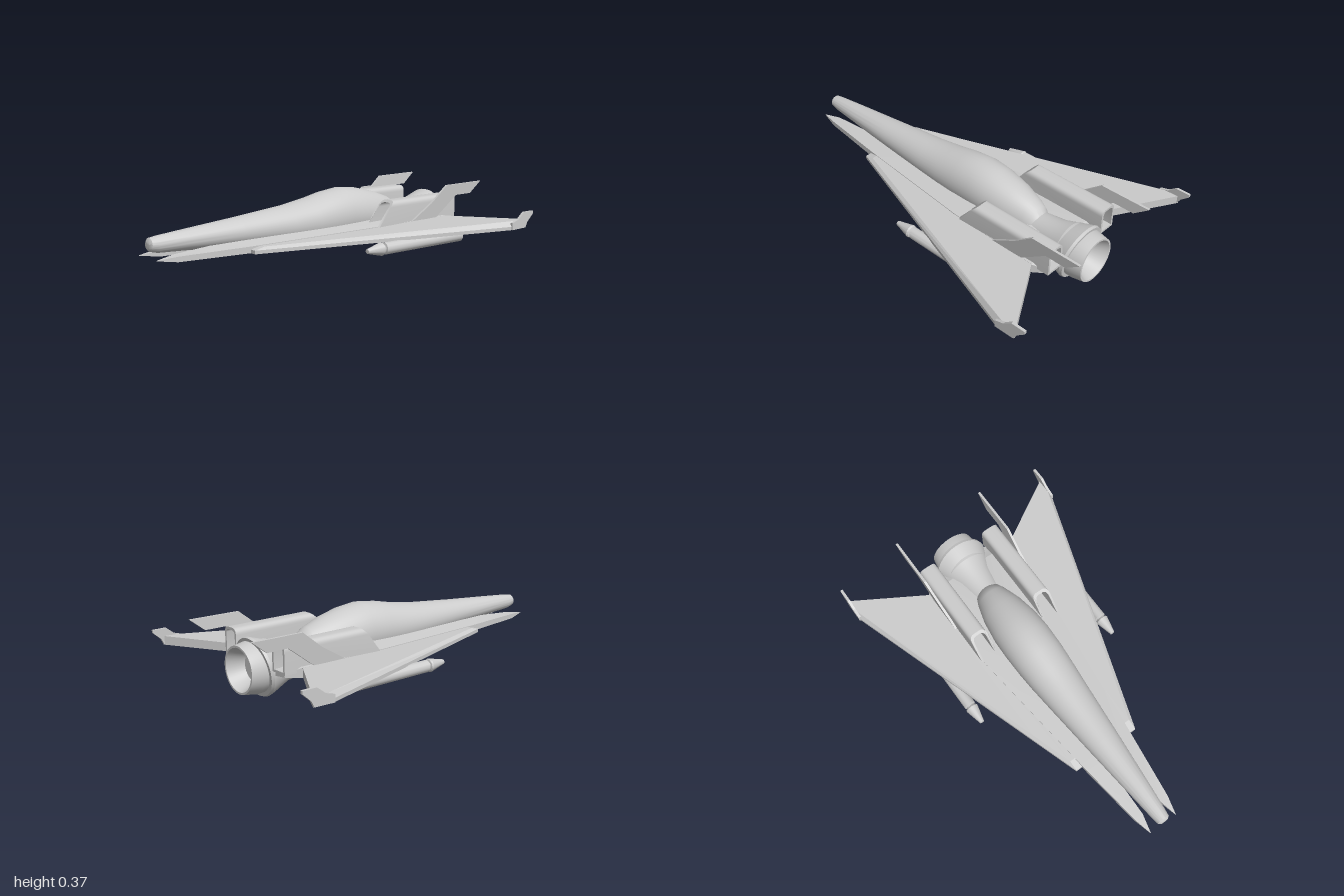
import * as THREE from 'three';
import { toCreasedNormals } from 'three/addons/utils/BufferGeometryUtils.js';

const material = new THREE.MeshStandardMaterial({ color: 0xcccccc });

// Skin closed rings of [x, y, z] points, capping both ends and facing outward
function loft(rings, crease = 0.5) {
  const n = rings[0].length;
  const tris = [];
  const tri = (a, b, c) => tris.push([a, b, c]);
  for (let i = 0; i < rings.length - 1; i++) {
    for (let j = 0; j < n; j++) {
      const k = (j + 1) % n;
      const [a, b, c, d] = [rings[i][j], rings[i][k], rings[i + 1][k], rings[i + 1][j]];
      tri(a, b, c);
      tri(a, c, d);
    }
  }
  const first = rings[0], last = rings[rings.length - 1];
  for (let j = 1; j < n - 1; j++) {
    tri(first[0], first[j + 1], first[j]);
    tri(last[0], last[j], last[j + 1]);
  }
  let volume = 0;
  const [A, B, C] = [new THREE.Vector3(), new THREE.Vector3(), new THREE.Vector3()];
  for (const [a, b, c] of tris) {
    volume += A.fromArray(a).dot(B.fromArray(b).cross(C.fromArray(c)));
  }
  const flat = tris.flatMap(([a, b, c]) => (volume < 0 ? [a, c, b] : [a, b, c])).flat();
  const geo = new THREE.BufferGeometry();
  geo.setAttribute('position', new THREE.Float32BufferAttribute(flat, 3));
  return toCreasedNormals(geo, crease);
}

// Reflect a geometry across z = 0 and restore its facing
function mirrored(source) {
  const src = source.index ? source.toNonIndexed() : source.clone();
  for (const name of ['position', 'normal']) {
    const at = src.attributes[name];
    for (let i = 0; i < at.count; i += 3) {
      const p = [0, 2, 1].map((k) => [at.getX(i + k), at.getY(i + k), -at.getZ(i + k)]);
      p.forEach((v, k) => at.setXYZ(i + k, ...v));
    }
  }
  return src;
}

// Move every vertex by a rule, then refresh the normals
function reshape(geo, rule, crease = 0.5) {
  const pos = geo.attributes.position;
  const v = new THREE.Vector3();
  for (let i = 0; i < pos.count; i++) {
    rule(v.fromBufferAttribute(pos, i));
    pos.setXYZ(i, v.x, v.y, v.z);
  }
  return toCreasedNormals(geo, crease);
}

// Turn a [x, radius] profile about an axis running along x
function turned(profile, segments, y, z) {
  const geo = new THREE.LatheGeometry(profile.map(([x, r]) => new THREE.Vector2(r, x)), segments);
  return toCreasedNormals(geo.rotateZ(-Math.PI / 2).translate(0, y, z), 0.5);
}

function plate(points, thickness) {
  const shape = new THREE.Shape(points.map(([x, y]) => new THREE.Vector2(x, y)));
  return new THREE.ExtrudeGeometry(shape, { depth: thickness, bevelEnabled: false });
}

// Round-shouldered duct outline, inset by t
function ductPath(path, t) {
  const [l, r, b, top, c] = [-0.25 + t, -0.152 - t, 0.17 + t, 0.31 - t, 0.032 - t / 2];
  path.moveTo(l, b);
  path.lineTo(r, b);
  path.lineTo(r, top - c);
  path.quadraticCurveTo(r, top, r - c, top);
  path.lineTo(l + c, top);
  path.quadraticCurveTo(l, top, l, top - c);
  path.lineTo(l, b);
  return path;
}

export function createModel() {
  const model = new THREE.Group();
  const add = (name, geo) => {
    const mesh = new THREE.Mesh(geo, material);
    mesh.name = name;
    model.add(mesh);
  };
  const addPair = (name, geo) => {
    add(name + 'Left', geo);
    add(name + 'Right', mirrored(geo));
  };

  // Fuselage: oval sections given as x, half width, top, bottom
  const stations = [
    [-1, 0.02, 0.226, 0.186], [-0.99, 0.034, 0.24, 0.174], [-0.95, 0.04, 0.246, 0.164],
    [-0.8, 0.056, 0.259, 0.157], [-0.5, 0.086, 0.284, 0.137], [-0.2, 0.114, 0.313, 0.108],
    [-0.05, 0.128, 0.337, 0.093], [0.05, 0.135, 0.359, 0.086], [0.17, 0.138, 0.374, 0.083],
    [0.28, 0.134, 0.362, 0.083], [0.4, 0.117, 0.333, 0.083], [0.5, 0.09, 0.298, 0.084],
    [0.54, 0.075, 0.275, 0.085], [0.56, 0.06, 0.24, 0.085], [0.64, 0.04, 0.2, 0.09],
  ];
  const oval = ([x, w, top, bottom]) => Array.from({ length: 40 }, (_, i) => {
    const a = (i / 40) * Math.PI * 2;
    return [x, (top + bottom) / 2 + ((top - bottom) / 2) * Math.sin(a), w * Math.cos(a)];
  });
  add('fuselage', loft(stations.map(oval), 0.8));

  // Engine: flared shroud with a slanted rear rim, and a hollow nozzle
  const shroud = turned([[0.4, 0], [0.4, 0.08], [0.55, 0.085], [0.66, 0.1], [0.72, 0.122],
    [0.775, 0.142], [0.8, 0.15], [0.815, 0.146], [0.815, 0.122], [0.79, 0.1]], 40, 0, 0);
  add('engineShroud', reshape(shroud, (v) => {
    if (v.x > 0.6) v.x += 0.18 * v.y * Math.min(1, (v.x - 0.6) / 0.17);
    v.y += 0.154;
  }));
  add('engineNozzle', turned([[0.74, 0.125], [0.83, 0.13], [0.9, 0.118], [0.9, 0.108],
    [0.815, 0.073], [0.815, 0]], 40, 0.156, 0));

  // Side strakes running from pointed prongs to the tail:
  // x, inner z, outer z, inner top, outer top, outer bottom, inner bottom
  const strake = [
    [-1, 0.079, 0.081, 0.146, 0.146, 0.144, 0.144],
    [-0.9, 0.055, 0.105, 0.158, 0.156, 0.13, 0.13],
    [-0.52, 0.05, 0.155, 0.185, 0.163, 0.13, 0.13],
    [0.2, 0.05, 0.24, 0.21, 0.183, 0.137, 0.12],
    [0.72, 0.05, 0.265, 0.212, 0.194, 0.144, 0.12],
    [0.79, 0.05, 0.22, 0.2, 0.168, 0.15, 0.13],
  ];
  addPair('strake', loft(strake.map(([x, zi, zo, a, b, c, d]) =>
    [[x, a, zi], [x, b, zo], [x, c, zo], [x, d, zi]]), 0.3));

  // Delta wings with a bevelled leading edge: z, leading x, trailing x
  const under = (x) => 0.13 + (x + 0.525) * 0.016;
  const upper = (x) => 0.16 + (x + 0.525) * 0.027;
  const spans = [[0.1, -0.525, 0.72], [0.19, -0.525, 0.72], [0.265, -0.299, 0.72], [0.64, 0.83, 0.943]];
  addPair('wing', loft(spans.map(([z, lead, trail]) => {
    const ridge = lead + 0.055;
    return [[lead, under(lead), z], [lead, under(lead) + 0.018, z], [ridge, upper(ridge), z],
      [trail, upper(trail), z], [trail, under(trail), z]];
  }), 0.2));

  // Small swept winglets on the wing tips
  addPair('winglet', plate([[0.83, 0.152], [0.94, 0.155], [0.955, 0.185], [1, 0.225], [1, 0.24],
    [0.925, 0.24], [0.88, 0.205], [0.83, 0.19]], 0.014).translate(0, 0, 0.632));

  // Intake ducts: hollow, with a raked mouth and a blanking wall inside
  const duct = ductPath(new THREE.Shape(), 0);
  duct.holes.push(ductPath(new THREE.Path(), 0.012));
  const ductGeo = new THREE.ExtrudeGeometry(duct, { depth: 0.58, bevelEnabled: false, curveSegments: 6 });
  ductGeo.rotateY(Math.PI / 2).translate(0.23, 0, 0);
  addPair('intakeDuct', reshape(ductGeo, (v) => {
    if (v.x < 0.5) v.x += Math.max(0, v.y - 0.2) * 1.05;
  }));
  addPair('ductWall', new THREE.BoxGeometry(0.2, 0.125, 0.084).translate(0.56, 0.236, 0.201));

  // Swept tail fins, leaning outward
  const fin = plate([[0.47, 0.19], [0.61, 0.275], [0.72, 0.363], [0.995, 0.365], [0.915, 0.302],
    [0.8, 0.302], [0.65, 0.19]], 0.013);
  addPair('tailFin', reshape(fin, (v) => { v.z += 0.248 + (v.y - 0.19) * 0.07; }));

  // Missiles slung under the wings
  addPair('missile', turned([[-0.02, 0], [-0.018, 0.012], [0.075, 0.034], [0.083, 0.03], [0.086, 0.022],
    [0.092, 0.022], [0.095, 0.031], [0.65, 0.031], [0.65, 0]], 24, 0.115, 0.43));
  addPair('missilePylon', new THREE.BoxGeometry(0.3, 0.02, 0.016).translate(0.45, 0.146, 0.43));

  return model;
}
